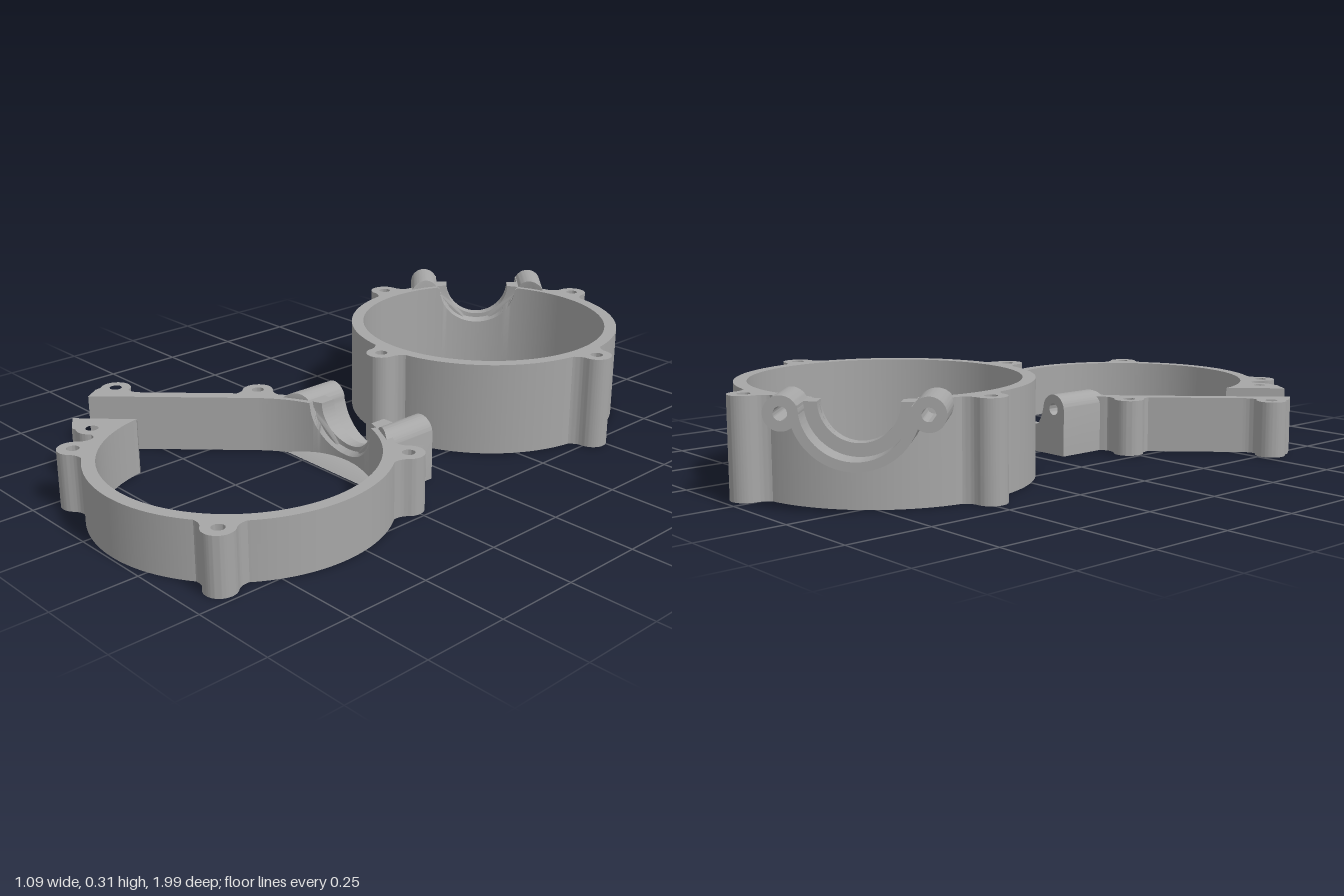
import * as THREE from 'three';
import { toCreasedNormals } from 'three/addons/utils/BufferGeometryUtils.js';

const R_IN = 0.383, R_OUT = 0.42, R_SEAT = 0.4, LUG = 0.045, HOLE = 0.018, LUG_R = 0.4525;
const rad = THREE.MathUtils.degToRad;

export function createModel() {
  const model = new THREE.Group();
  const grey = new THREE.MeshStandardMaterial({ color: 0xa6a6a6 });
  grey.name = 'grey';

  const add = (group, name, geometry, angle = 0) => {
    const mesh = new THREE.Mesh(toCreasedNormals(geometry, 0.6), grey);
    mesh.name = name;
    mesh.rotation.y = -rad(angle);
    group.add(mesh);
  };

  const drill = (shape, x, y) => {
    shape.holes.push(new THREE.Path().absarc(x, y, HOLE, 0, Math.PI * 2, true));
    return shape;
  };

  // Plan outline (x, z) raised from the ground to height h
  const upright = (shape, h) =>
    new THREE.ExtrudeGeometry(shape, { depth: h, bevelEnabled: false, curveSegments: 20 })
      .rotateX(Math.PI / 2).translate(0, h, 0);

  // Elevation outline (t, y) run outward from the curved wall to radius end
  const outward = (shape, end) => {
    const g = new THREE.ExtrudeGeometry(shape, { depth: 1, bevelEnabled: false, curveSegments: 32 }).rotateY(Math.PI / 2);
    const p = g.attributes.position;
    for (let i = 0; i < p.count; i++) {
      const t = p.getZ(i);
      p.setX(i, p.getX(i) < 0.5 ? Math.sqrt(R_SEAT * R_SEAT - t * t) : end);
    }
    return g;
  };

  // Ring wall with a flared round notch in its top edge at the port angle
  const wall = (from, to, port, h) => {
    const n = 400, pos = [], idx = [];
    const top = (r, a, bore) => {
      const t = r * Math.sin(a - rad(port));
      return Math.cos(a - rad(port)) > 0 ? h - Math.sqrt(Math.max(0, bore * bore - t * t)) : h;
    };
    for (let i = 0; i <= n; i++) {
      const a = rad(from + (to - from) * i / n), c = Math.cos(a), s = Math.sin(a);
      const section = [[R_OUT, 0], [R_OUT, top(R_OUT, a, 0.105)], [R_IN, top(R_IN, a, 0.13)], [R_IN, 0]];
      for (const [r, y] of section) pos.push(r * c, y, r * s);
      if (i === n) break;
      for (let k = 0; k < 4; k++) {
        const p = i * 4 + k, q = i * 4 + (k + 1) % 4;
        idx.push(p, q, p + 4, q, q + 4, p + 4);
      }
    }
    const e = n * 4;
    idx.push(0, 2, 1, 0, 3, 2, e, e + 1, e + 2, e, e + 2, e + 3);
    const g = new THREE.BufferGeometry();
    g.setAttribute('position', new THREE.Float32BufferAttribute(pos, 3));
    g.setIndex(idx);
    return g;
  };

  // Screw lug with fillets into the wall
  const lug = (h) => {
    const s = new THREE.Shape();
    s.moveTo(0.405, -0.08);
    s.quadraticCurveTo(0.425, -LUG, LUG_R, -LUG);
    s.absarc(LUG_R, 0, LUG, -Math.PI / 2, Math.PI / 2, false);
    s.quadraticCurveTo(0.425, LUG, 0.405, 0.08);
    return upright(drill(s, LUG_R, 0), h);
  };

  // Half of a pipe, open upward
  const halfPipe = (h, inner, outer) => {
    const s = new THREE.Shape();
    s.absarc(0, h, outer, Math.PI, Math.PI * 2, false);
    s.absarc(0, h, inner, Math.PI * 2, Math.PI, true);
    return s;
  };

  // ---- Tall ring ----
  const tall = new THREE.Group();
  tall.name = 'tallRing';
  tall.position.set(0.045, 0, -0.481);
  const H = 0.28;
  add(tall, 'tallWall', wall(0, 360, 225, H));
  for (const a of [0, 90, 180, 270]) add(tall, 'tallLug', lug(H), a);
  add(tall, 'tallPortSocket', outward(halfPipe(H, 0.14, 0.165), 0.503), 225);
  add(tall, 'tallPortLedge', outward(halfPipe(H, 0.105, 0.16), 0.435), 225);
  for (const side of [-1, 1]) {
    const boss = new THREE.Shape().absarc(side * 0.183, H - 0.02, LUG, 0, Math.PI * 2, false);
    add(tall, 'tallPortBoss', outward(drill(boss, side * 0.183, H - 0.02), 0.503), 225);
  }
  model.add(tall);

  // ---- Low open ring ----
  const low = new THREE.Group();
  low.name = 'lowRing';
  low.position.set(0.122, 0, 0.572);
  const L = 0.168, bossY = L - 0.028;
  add(low, 'lowWall', wall(-135, 160, -90, L));
  for (const a of [-135, -45, 45, 135]) add(low, 'lowLug', lug(L), a);

  // Port block with rounded boss tops and a round bore between them
  const block = new THREE.Shape();
  block.moveTo(-0.228, 0);
  block.lineTo(0.228, 0);
  block.absarc(0.183, bossY, LUG, 0, Math.PI, false);
  block.absarc(0, L, 0.14, -0.2, -Math.PI + 0.2, true);
  block.absarc(-0.183, bossY, LUG, 0, Math.PI, false);
  drill(block, 0.183, bossY);
  drill(block, -0.183, bossY);
  add(low, 'lowPortBlock', outward(block, 0.507), -90);
  add(low, 'lowPortLedge', outward(halfPipe(L, 0.105, 0.16), 0.435), -90);

  // Straight arm leaving the ring on a tangent, ending in a lug
  const arm = new THREE.Shape();
  arm.moveTo(R_IN, 0);
  arm.lineTo(R_OUT, 0);
  arm.lineTo(R_OUT, -0.345);
  arm.quadraticCurveTo(R_OUT, -0.378, 0.44, -0.388);
  arm.absarc(0.457, -0.43, LUG, rad(112), rad(-95), true);
  arm.lineTo(0.438, -0.486);
  arm.lineTo(R_IN, -0.497);
  add(low, 'tangentArm', upright(drill(arm, 0.457, -0.43), L), 225);

  // Wedge at the free end of the ring
  const wedge = new THREE.Shape();
  wedge.moveTo(-0.373, 0.077);
  wedge.lineTo(-0.506, 0.206);
  wedge.lineTo(-0.442, 0.248);
  wedge.absarc(-0.405, 0.206, LUG, 2.1, 0.6, true);
  wedge.lineTo(-0.335, 0.24);
  wedge.absarc(0, 0, R_IN, rad(148), rad(168.3), false);
  add(low, 'endWedge', upright(drill(wedge, -0.405, 0.206), L));
  model.add(low);

  return model;
}
